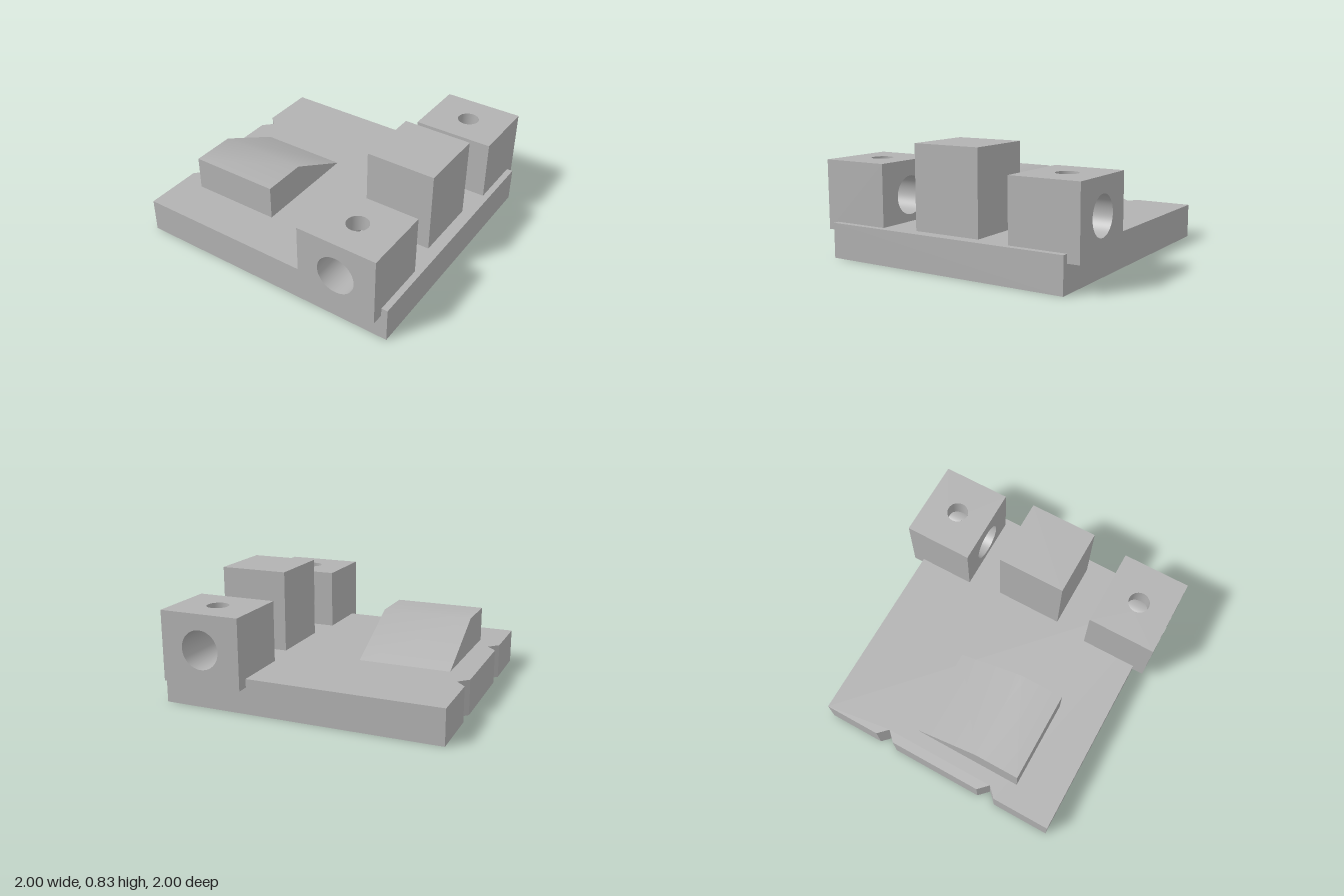
import * as THREE from 'three';
import { toCreasedNormals } from 'three/addons/utils/BufferGeometryUtils.js';

const grey = new THREE.MeshStandardMaterial({ color: 0xb2b2b2, side: THREE.DoubleSide });
grey.name = 'plain grey';

function add(parent, name, geometry, x = 0, y = 0, z = 0) {
  const mesh = new THREE.Mesh(geometry, grey);
  mesh.name = name;
  mesh.position.set(x, y, z);
  parent.add(mesh);
  return mesh;
}

const polygon = (points) => new THREE.Shape(points.map(([x, y]) => new THREE.Vector2(x, y)));

// Rectangle centred on the origin with a round hole
function holedFace(w, h, cy, r) {
  const shape = polygon([[-w / 2, -h / 2], [w / 2, -h / 2], [w / 2, h / 2], [-w / 2, h / 2]]);
  shape.holes.push(new THREE.Path().absarc(0, cy, r, 0, Math.PI * 2, true));
  return new THREE.ShapeGeometry(shape, 48);
}

// Move each vertex by a rule
function reshape(geometry, rule) {
  const p = geometry.attributes.position;
  const v = new THREE.Vector3();
  for (let i = 0; i < p.count; i++) {
    rule(v.fromBufferAttribute(p, i));
    p.setXYZ(i, v.x, v.y, v.z);
  }
  return geometry;
}

// Block with a through bore along z, met by a smaller hole from the top
function boredBlock() {
  const block = new THREE.Group();
  const w = 0.58, h = 0.495, d = 0.5, R = 0.137, r = 0.077;
  for (const s of [1, -1]) {
    const face = holedFace(w, h, 0, R);
    if (s < 0) face.rotateY(Math.PI);
    add(block, 'boreFace', face, 0, 0, s * d / 2);
    add(block, 'sideFace', new THREE.PlaneGeometry(d, h).rotateY(s * Math.PI / 2), s * w / 2);

    // Half of the bore, its inner end cut back around the top hole
    const bore = new THREE.CylinderGeometry(R, R, 1, 128, 1, true).rotateX(Math.PI / 2);
    reshape(bore, (v) => {
      const inner = v.z * s < 0;
      const cut = v.y > 0 ? Math.sqrt(Math.max(0, r * r - v.x * v.x)) : 0;
      v.z = s * (inner ? cut : d / 2);
    });
    add(block, 'boreWall', bore);
  }
  add(block, 'topFace', holedFace(w, d, 0, r).rotateX(-Math.PI / 2), 0, h / 2);
  add(block, 'bottomFace', new THREE.PlaneGeometry(w, d).rotateX(Math.PI / 2), 0, -h / 2);

  // Top hole wall, its lower end following the bore
  const hole = new THREE.CylinderGeometry(r, r, 1, 64, 1, true);
  reshape(hole, (v) => { v.y = v.y > 0 ? h / 2 : Math.sqrt(R * R - v.x * v.x); });
  add(block, 'topHoleWall', hole);
  return block;
}

export function createModel() {
  const model = new THREE.Group();
  model.name = 'fixture';

  // Base plate with two V notches in one edge
  const plate = polygon([
    [-1, -0.915], [1, -0.915], [1, 0.915], [-1, 0.915],
    [-1, 0.485], [-0.93, 0.415], [-1, 0.345],
    [-1, -0.355], [-0.93, -0.425], [-1, -0.495],
  ]);
  add(model, 'basePlate',
    new THREE.ExtrudeGeometry(plate, { depth: 0.25, bevelEnabled: false }).rotateX(Math.PI / 2), 0, 0.25);

  // Ramp with a flat top, profile drawn in z and y
  const profile = polygon([[-0.25, 0.25], [0.58, 0.25], [0.58, 0.5], [0.25, 0.5]]);
  const ramp = new THREE.ExtrudeGeometry(profile, { depth: 0.663, bevelEnabled: false }).rotateY(-Math.PI / 2);
  add(model, 'ramp', toCreasedNormals(ramp, 0.48), -0.17);

  // Tall solid block between the bored blocks
  add(model, 'middleBlock', new THREE.BoxGeometry(0.5, 0.585, 0.5), 0.665, 0.5425, 0);

  for (const [name, z] of [['frontBoredBlock', 0.75], ['backBoredBlock', -0.75]]) {
    const block = boredBlock();
    block.name = name;
    block.position.set(0.665, 0.4375, z);
    model.add(block);
  }
  return model;
}
